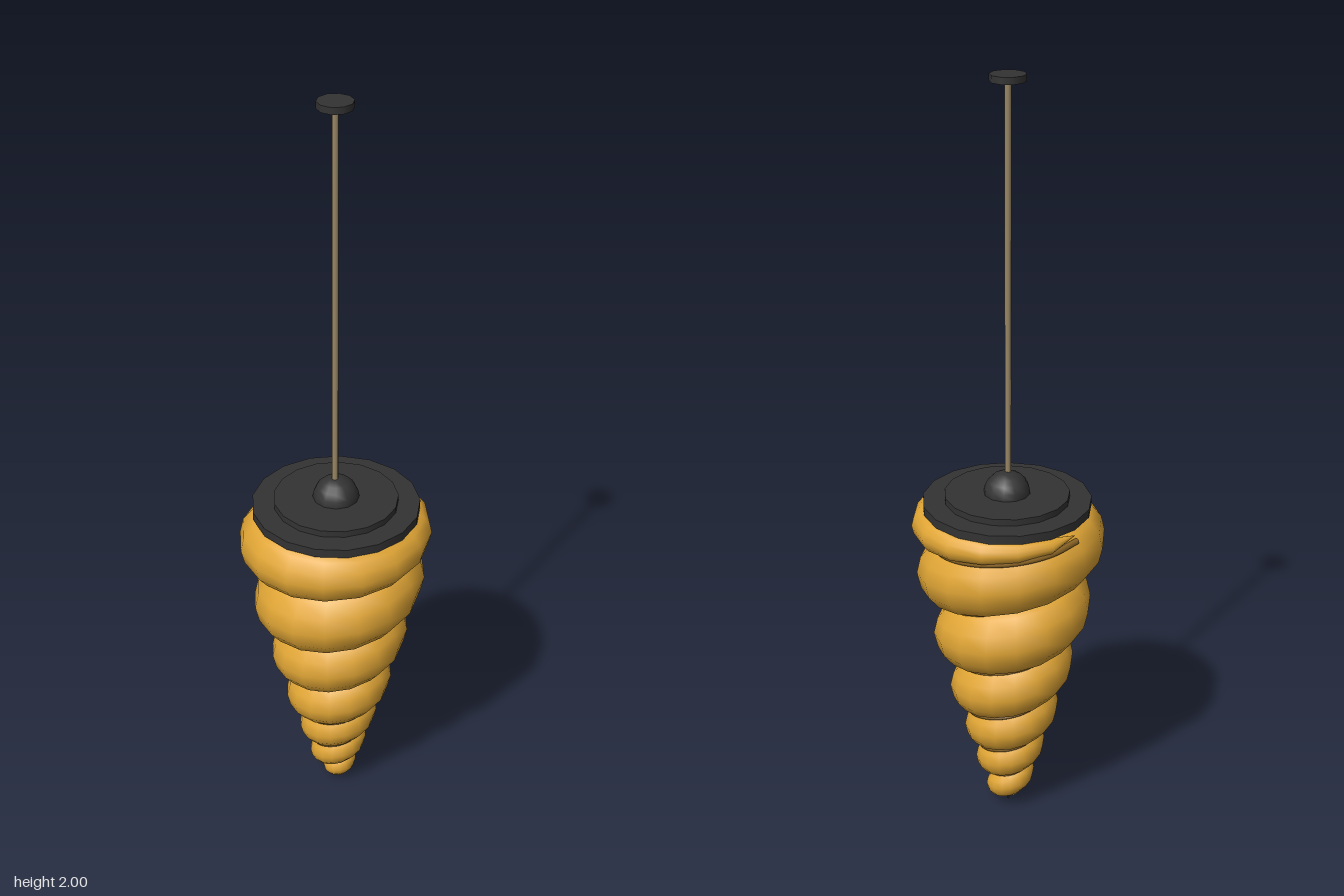
import * as THREE from 'three';

const makeMaterial = (name, color) => {
  const m = new THREE.MeshStandardMaterial({ color });
  m.name = name;
  return m;
};
const gold = makeMaterial('amber shell', 0xe0a535);
const brown = makeMaterial('seam brown', 0x8a6424);
const dark = makeMaterial('dark metal', 0x333333);
const tan = makeMaterial('cord tan', 0x9a8866);

// Tapering coil: one knot per half turn, [outer radius, centre height, tube radius]
const knots = [
  [0.026, 0.036, 0.024], [0.055, 0.052, 0.038], [0.067, 0.09, 0.047], [0.084, 0.14, 0.054],
  [0.095, 0.185, 0.06], [0.112, 0.24, 0.066], [0.13, 0.3, 0.074], [0.15, 0.36, 0.08],
  [0.168, 0.44, 0.088], [0.19, 0.52, 0.096], [0.212, 0.61, 0.102], [0.232, 0.695, 0.102],
  [0.248, 0.805, 0.095], [0.251, 0.848, 0.06], [0.228, 0.885, 0.015],
];
const halfTurns = knots.length - 1;
const coil = new THREE.CatmullRomCurve3(
  knots.map((k) => new THREE.Vector3(...k)), false, 'catmullrom', 0.5);

// Cross-section circle of the coil after u half turns
function section(u) {
  const k = coil.getPoint(u / halfTurns);
  return { r: k.x - k.z, y: k.y, h: k.z };
}

// Point on the winding: radius r, height y, after u half turns
function around(r, y, u) {
  const t = (u - 1) * Math.PI;
  return new THREE.Vector3(r * Math.cos(t), y, -r * Math.sin(t));
}

function coilGeometry() {
  const steps = halfTurns * 8, sides = 14;
  const points = [], index = [];
  for (let i = 0; i <= steps; i++) {
    const s = section(i / 8);
    const h = i === 0 || i === steps ? 0 : s.h; // closed ends
    for (let j = 0; j < sides; j++) {
      const a = (j / sides) * Math.PI * 2;
      points.push(around(s.r + h * Math.cos(a), s.y + h * Math.sin(a), i / 8));
      if (i === steps) continue;
      const p = i * sides + j, q = i * sides + (j + 1) % sides;
      index.push(p, p + sides, q, p + sides, q + sides, q);
    }
  }
  const g = new THREE.BufferGeometry().setFromPoints(points);
  g.setIndex(index);
  g.computeVertexNormals();
  return g;
}

// Thin cord in the groove, where each turn meets the turn above it
function seamGeometry() {
  const points = [];
  for (let u = 0; u <= halfTurns - 2; u += 1 / 8) {
    const a = section(u), b = section(u + 2);
    const dr = b.r - a.r, dy = b.y - a.y, d = Math.hypot(dr, dy);
    const along = (a.h ** 2 - b.h ** 2 + d * d) / (2 * d);
    const out = Math.sqrt(Math.max(0, a.h ** 2 - along ** 2));
    points.push(around(a.r + (along * dr + out * dy) / d, a.y + (along * dy - out * dr) / d, u));
  }
  return new THREE.TubeGeometry(new THREE.CatmullRomCurve3(points), 300, 0.008, 6);
}

export function createModel() {
  const model = new THREE.Group();
  model.name = 'spiralPendantLamp';

  const add = (name, geometry, material, y, z = 0) => {
    const mesh = new THREE.Mesh(geometry, material);
    mesh.name = name;
    mesh.position.set(0, y, z);
    model.add(mesh);
  };
  // Upright disc between two heights, with a corner pointing to -x
  const disc = (name, radius, y0, y1, sides, material, z) => add(name,
    new THREE.CylinderGeometry(radius, radius, y1 - y0, sides, 1, false, -Math.PI / 2),
    material, (y0 + y1) / 2, z);

  // Shade
  add('spiralShade', coilGeometry(), gold, 0);
  add('spiralSeam', seamGeometry(), brown, 0);
  add('bottomTip', new THREE.ConeGeometry(0.013, 0.03, 10).rotateX(Math.PI), dark, 0.015);

  // Cap on the shade
  disc('capPlate', 0.216, 0.902, 0.925, 17, dark, -0.004);
  disc('capStep', 0.16, 0.925, 0.942, 17, dark, -0.004);
  add('capDome', new THREE.SphereGeometry(0.06, 12, 10), dark, 0.94, -0.004);

  // Cord and ceiling mount
  disc('cord', 0.008, 0.99, 1.985, 8, tan);
  disc('ceilingMount', 0.044, 1.983, 2, 10, dark);
  return model;
}
